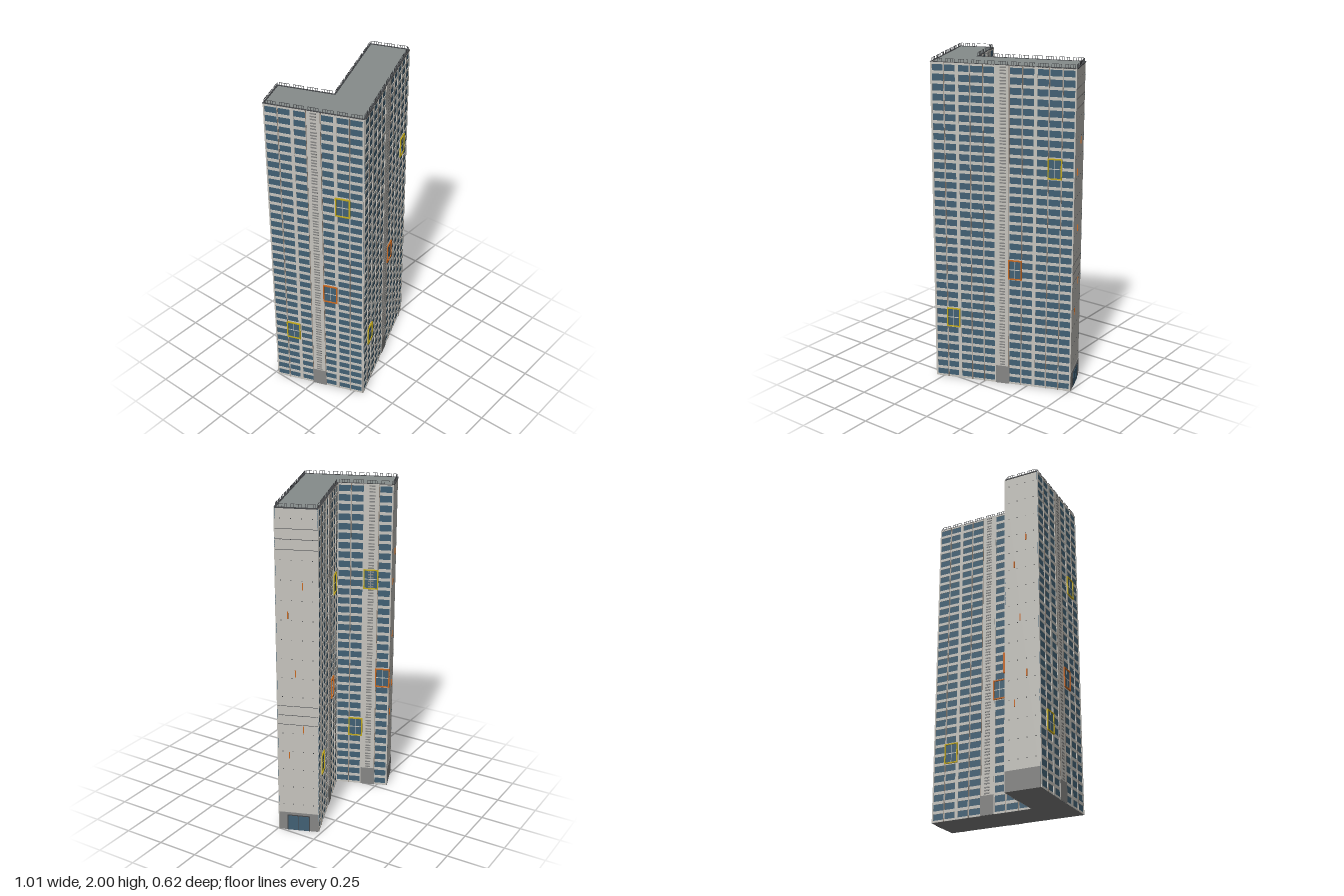
import * as THREE from 'three';
import { mergeGeometries } from 'three/addons/utils/BufferGeometryUtils.js';

const flat = (name, color) => {
  const m = new THREE.MeshStandardMaterial({ color });
  m.name = name;
  return m;
};
const M = {
  wall: flat('pale concrete', 0xc6c4be),
  glass: flat('blue glass', 0x416074),
  roof: flat('roof grey', 0x868c8b),
  plinth: flat('plinth grey', 0x868685),
  dark: flat('charcoal', 0x45474a),
  fin: flat('taupe', 0x8d8175),
  orange: flat('orange', 0xc9681f),
  yellow: flat('yellow', 0xc2a91c),
};

const FLOORS = 34, H = 0.0582, TOP = FLOORS * H;
const U = [0.932, -0.362], V = [-0.362, -0.932]; // long wing and short wing directions
const at = (u, v) => [-0.294 + u * U[0] + v * V[0], 0.3 + u * U[1] + v * V[1]];
const FOOT = [at(0, 0), at(0.852, 0), at(0.852, 0.236), at(0.21, 0.236), at(0.21, 0.568), at(0, 0.568)];

// Collects boxes by part name and merges each part into one mesh
class Side {
  constructor(name) {
    this.group = new THREE.Group();
    this.group.name = name;
    this.parts = new Map();
  }
  // x and y are the centre; z is how far the box stands out from the wall
  box(part, mat, x, y, w, h, out, from = 0) {
    const g = new THREE.BoxGeometry(w, h, out - from).translate(x, y, (out + from) / 2);
    if (!this.parts.has(part)) this.parts.set(part, { mat, list: [] });
    this.parts.get(part).list.push(g);
  }
  build() {
    for (const [name, { mat, list }] of this.parts) {
      const mesh = new THREE.Mesh(mergeGeometries(list), mat);
      mesh.name = name;
      this.group.add(mesh);
    }
    return this.group;
  }
}

// Coloured frame two floors high around one bay
function frame(s, part, mat, x, floor, w) {
  const y = (floor + 1) * H, h = 2 * H, t = 0.007;
  for (const k of [-1, 1]) {
    s.box(part, mat, x + k * w / 2, y, t, h + t, 0.012);
    s.box(part, mat, x, y + k * h / 2, w + t, t, 0.012);
  }
  s.box('framed glass', M.glass, x, y, w, h, 0.0065);
  s.box('framed glass bar', M.wall, x, y, w, 0.005, 0.0075);
  s.box('framed glass mullion', M.wall, x, y, 0.003, h, 0.0075);
}

// Window wall with spandrels, piers and a louvred core bay
function facade(s, len, bays, frames) {
  const b = len / bays, core = Math.floor(bays / 2), cx = (core + 0.5) * b;
  s.box('glazing', M.glass, len / 2, TOP / 2, len, TOP, 0.001);
  for (let f = 0; f <= FLOORS; f++) {
    const y = THREE.MathUtils.clamp(f * H, 0.006, TOP - 0.006);
    s.box('spandrels', M.wall, len / 2, y, len, f % FLOORS ? 0.018 : 0.012, 0.004);
  }
  for (let i = 0; i <= bays; i++) {
    const end = i === 0 || i === bays, wide = i % 3 === 2;
    const x = i === 0 ? 0.004 : i === bays ? len - 0.004 : i * b;
    s.box('piers', M.wall, x, TOP / 2, end ? 0.008 : wide ? 0.02 : 0.008, TOP, 0.005);
    if (!end && !wide) s.box('fins', M.fin, x, TOP / 2, 0.004, TOP, 0.007);
  }
  s.box('core wall', M.wall, cx, TOP / 2, b + 0.006, TOP, 0.0055);
  for (let f = 2; f < FLOORS; f++)
    for (const k of [0.2, 0.5, 0.8]) s.box('louvres', M.plinth, cx, (f + k) * H, 0.034, 0.008, 0.0075);
  s.box('core plinth', M.plinth, cx, H, b + 0.006, 2 * H, 0.0075);
  const [low, mid, high] = frames.map((i) => (i + 0.5) * b);
  frame(s, 'yellow frames', M.yellow, low, 6, b);
  frame(s, 'orange frames', M.orange, mid, 12, b);
  frame(s, 'yellow frames', M.yellow, high, 23, b);
}

// Blank end wall with plinth, fixings and orange markers
function endWall(s, len, entrance) {
  s.box('end plinth', M.plinth, len / 2, H, len, 2 * H, 0.003);
  for (const [u, y] of [[0.64, 1.54], [0.28, 1.37], [0.45, 1.02], [0.64, 0.67], [0.28, 0.5]])
    s.box('markers', M.orange, u * len, y, 0.006, 0.042, 0.004);
  for (let f = 3; f < FLOORS; f += 2)
    for (const u of [0.12, 0.37, 0.63, 0.88]) s.box('wall fixings', M.dark, u * len, f * H, 0.005, 0.004, 0.002);
  if (!entrance) return;
  for (const f of [12, 13, 14, 30, 31, 32]) s.box('wall joints', M.dark, len / 2, f * H, len, 0.0025, 0.001);
  s.box('door surround', M.dark, len / 2, 0.051, 0.136, 0.102, 0.005);
  for (const k of [-1, 1]) s.box('door glass', M.glass, len / 2 + k * 0.032, 0.049, 0.061, 0.094, 0.007);
}

// Roof edge trim and broken railing
function roofEdge(s, len) {
  s.box('roof trim', M.dark, len / 2, TOP - 0.001, len, 0.006, 0.004, -0.006);
  const n = Math.round(len / 0.08), b = len / n;
  for (let i = 0; i < n; i++) {
    const x = (i + 0.5) * b, w = b * 0.72;
    s.box('railing', M.dark, x, 1.999, w, 0.002, -0.002, -0.004);
    for (let k = -2; k <= 2; k++) s.box('railing', M.dark, x + k * w / 4, (TOP + 2) / 2, 0.002, 2 - TOP, -0.002, -0.004);
  }
}

// Extruded footprint slab
function slab(name, mat, y, h) {
  const shape = new THREE.Shape(FOOT.map(([x, z]) => new THREE.Vector2(x, -z)));
  const g = new THREE.ExtrudeGeometry(shape, { depth: h, bevelEnabled: false }).rotateX(-Math.PI / 2);
  const mesh = new THREE.Mesh(g, mat);
  mesh.name = name;
  mesh.position.y = y;
  return mesh;
}

export function createModel() {
  const model = new THREE.Group();
  model.name = 'tower';
  model.add(slab('base', M.plinth, 0, 0.01), slab('body', M.wall, 0.01, TOP - 0.014), slab('roof', M.roof, TOP - 0.004, 0.004));

  // Sides in order round the footprint, each seen left to right from outside
  const sides = [
    ['frontFacade', (s, l) => facade(s, l, 11, [1, 6, 9])],
    ['longWingEnd', (s, l) => endWall(s, l, true)],
    ['backFacade', (s, l) => facade(s, l, 8, [1, 5, 6])],
    ['innerFacade', (s, l) => facade(s, l, 4, [1, 3, 2])],
    ['shortWingEnd', (s, l) => endWall(s, l, false)],
    ['sideFacade', (s, l) => facade(s, l, 7, [1, 4, 5])],
  ];
  sides.forEach(([name, make], i) => {
    const [x, z] = FOOT[i], [x2, z2] = FOOT[(i + 1) % FOOT.length];
    const len = Math.hypot(x2 - x, z2 - z), s = new Side(name);
    make(s, len);
    roofEdge(s, len);
    const g = s.build();
    g.position.set(x, 0, z);
    g.rotation.y = Math.atan2(z - z2, x2 - x);
    model.add(g);
  });
  return model;
}
